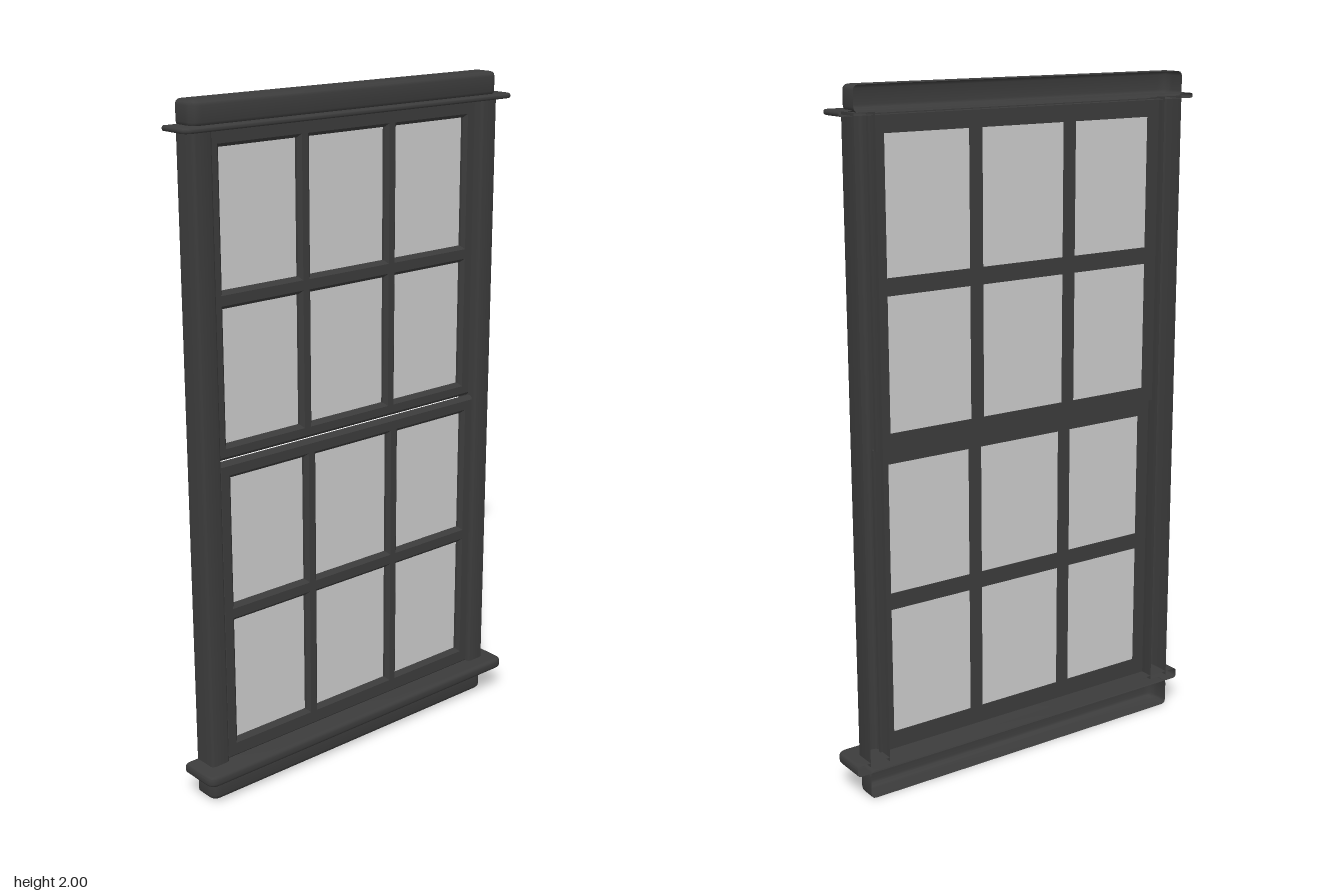
import * as THREE from 'three';
import { toCreasedNormals } from 'three/addons/utils/BufferGeometryUtils.js';

const BACK = -0.063;

export function createModel() {
  const model = new THREE.Group();
  model.name = 'sashWindow';
  const frameMat = new THREE.MeshStandardMaterial({ color: 0x3c3c3c, side: THREE.DoubleSide });
  frameMat.name = 'charcoal frame';
  const glassMat = new THREE.MeshStandardMaterial({ color: 0xcccccc, side: THREE.DoubleSide });
  glassMat.name = 'pale grey glass';

  function add(parent, name, geometry, material) {
    const mesh = new THREE.Mesh(geometry, material);
    mesh.name = name;
    parent.add(mesh);
    return mesh;
  }

  // Hollow bar, open at the back, with rounded front corners; runs upwards from y0 to y1
  function bar(name, x0, x1, zFront, y0, y1, radius, bevel) {
    const back = bevel - BACK; // profile y is -z
    const s = new THREE.Shape();
    s.moveTo(x0, back);
    s.lineTo(x0, -zFront + radius);
    s.quadraticCurveTo(x0, -zFront, x0 + radius, -zFront);
    s.lineTo(x1 - radius, -zFront);
    s.quadraticCurveTo(x1, -zFront, x1, -zFront + radius);
    s.lineTo(x1, back);
    s.closePath();
    const g = new THREE.ExtrudeGeometry(s, {
      depth: y1 - y0 - 2 * bevel, curveSegments: 5, bevelEnabled: bevel > 0,
      bevelThickness: bevel, bevelSize: bevel, bevelOffset: -bevel, bevelSegments: 3,
    });
    g.translate(0, 0, y0 + bevel);
    g.rotateX(-Math.PI / 2);

    // Trim at the back plane and drop the faces lying on it
    const p = g.attributes.position;
    const kept = [];
    for (let i = 0; i < p.count; i += 3) {
      const corners = [i, i + 1, i + 2];
      if (corners.every((k) => p.getZ(k) < BACK + 1e-4)) continue;
      for (const k of corners) kept.push(p.getX(k), p.getY(k), Math.max(p.getZ(k), BACK));
    }
    const shell = new THREE.BufferGeometry();
    shell.setAttribute('position', new THREE.Float32BufferAttribute(kept, 3));
    return add(model, name, toCreasedNormals(shell, 0.6), frameMat);
  }

  bar('head', -0.547, 0.547, 0.01, 1.93, 2, 0.03, 0.014);
  bar('dripCap', -0.59, 0.59, 0.035, 1.922, 1.936, 0.03, 0.005);
  bar('sill', -0.59, 0.59, 0.062, 0.08, 0.112, 0.03, 0.01);
  bar('apron', -0.547, 0.547, 0.01, 0, 0.085, 0.03, 0.014);

  // Side jambs
  bar('leftJamb', 0.484, 0.547, 0.01, 0.1, 1.93, 0.014, 0);
  bar('rightJamb', -0.547, -0.484, 0.01, 0.1, 1.93, 0.014, 0);

  function rect(path, x0, x1, y0, y1) {
    path.moveTo(x0, y0);
    path.lineTo(x1, y0);
    path.lineTo(x1, y1);
    path.lineTo(x0, y1);
    path.closePath();
    return path;
  }

  // One sash: flat back, and chamfered front edges around six panes
  const columns = [[-0.453, -0.172], [-0.15, 0.145], [0.167, 0.453]];
  function sash(name, y0, y1, rows, zBack) {
    const group = new THREE.Group();
    group.name = name;
    group.position.z = zBack;
    model.add(group);
    const bevel = 0.01;
    const shape = rect(new THREE.Shape(), -0.48, 0.48, y0 + bevel, y1 - bevel);
    for (const [b, t] of rows) {
      for (const [l, r] of columns) {
        shape.holes.push(rect(new THREE.Path(), l, r, b, t));
        const pane = add(group, 'pane', new THREE.PlaneGeometry(r - l - 0.016, t - b - 0.016), glassMat);
        pane.position.set((l + r) / 2, (b + t) / 2, 0.002);
      }
    }
    const g = new THREE.ExtrudeGeometry(shape, {
      depth: 0.01, bevelEnabled: true, bevelThickness: bevel, bevelSize: bevel, bevelSegments: 1,
    });
    // Flatten the rear chamfer into the back plane
    const p = g.attributes.position;
    for (let i = 0; i < p.count; i++) p.setZ(i, Math.max(p.getZ(i), 0));
    g.computeVertexNormals();
    add(group, name + 'Frame', g, frameMat);
  }
  sash('upperSash', 1.018, 1.925, [[1.052, 1.452], [1.481, 1.882]], -0.037);
  sash('lowerSash', 0.108, 1.018, [[0.155, 0.551], [0.58, 0.98]], -0.021);

  return model;
}
